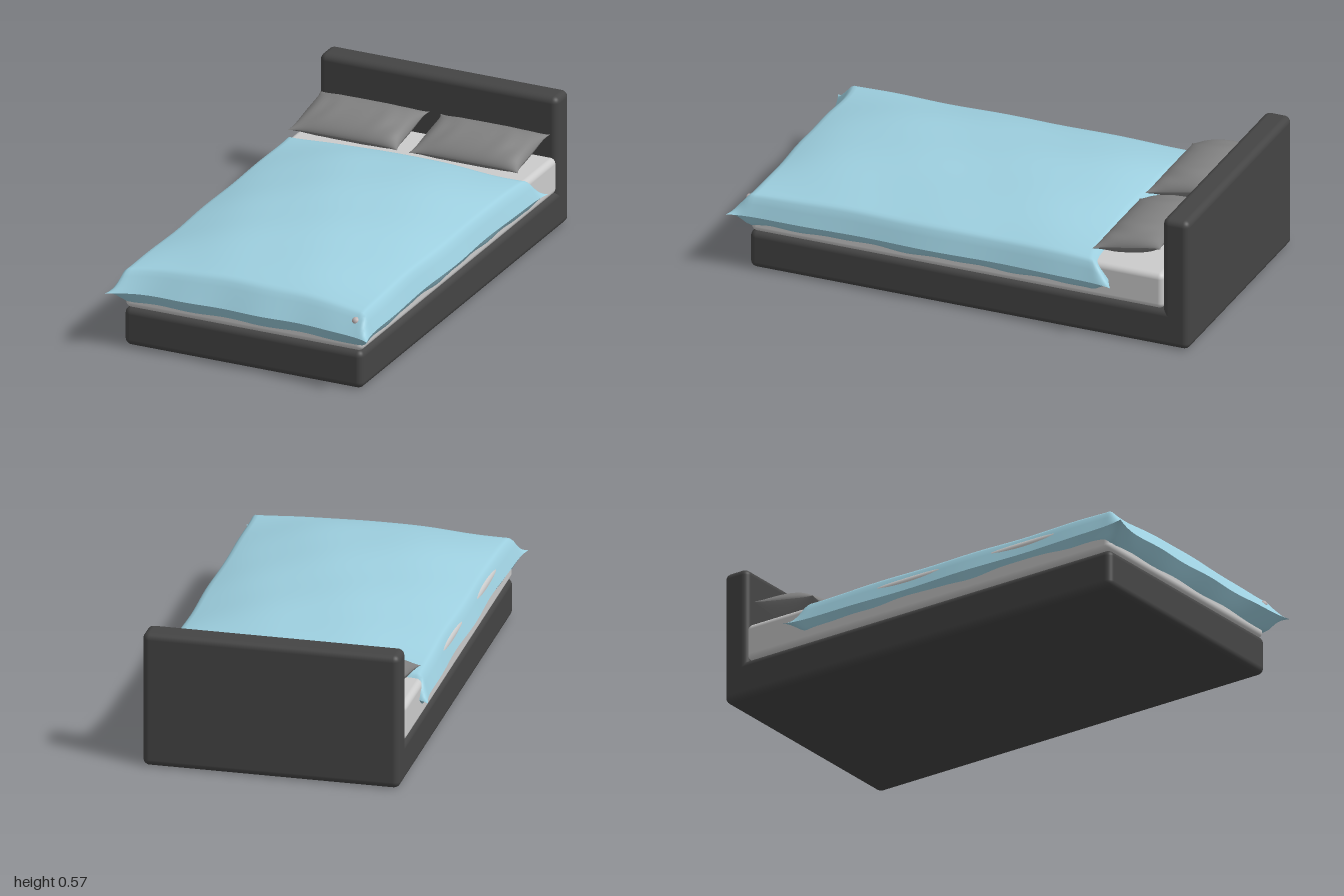
import * as THREE from 'three';
import { RoundedBoxGeometry } from 'three/addons/geometries/RoundedBoxGeometry.js';

const { sin, cos, abs, min, max, pow, PI } = Math;

function add(parent, name, geometry, color, x = 0, y = 0, z = 0) {
  const mesh = new THREE.Mesh(geometry, new THREE.MeshStandardMaterial({ color }));
  mesh.name = name;
  mesh.position.set(x, y, z);
  parent.add(mesh);
  return mesh;
}

// Rounded box given by its limits on each axis
function block(parent, name, color, [x0, x1], [y0, y1], [z0, z1], r) {
  add(parent, name, new RoundedBoxGeometry(x1 - x0, y1 - y0, z1 - z0, 4, r), color,
    (x0 + x1) / 2, (y0 + y1) / 2, (z0 + z1) / 2);
}

// Two sheets joined at a seam; place(u, v, side) returns [x, y, z] for u, v in -1..1
function cushion(parent, name, color, nu, nv, place) {
  const group = new THREE.Group();
  group.name = name;
  for (const side of [1, -1]) {
    const g = new THREE.PlaneGeometry(2, 2, nu, nv).rotateX(-side * PI / 2);
    const p = g.attributes.position;
    for (let i = 0; i < p.count; i++) {
      // rows crowd towards the seam
      const u = sin(p.getX(i) * PI / 2), v = sin(p.getZ(i) * PI / 2);
      p.setXYZ(i, ...place(u, v, side));
    }
    g.computeVertexNormals();
    add(group, side > 0 ? name + 'Top' : name + 'Underside', g, color);
  }
  parent.add(group);
  return group;
}

// Duvet: a narrow steep rim, a broad low dome and pulled-out corners
function duvetPoint(u, v, side) {
  const ripple = 0.004 * sin(9 * v + 2 * u) * pow(abs(u), 6);
  const x = u * (0.558 + 0.028 * pow(abs(v), 10)) + ripple;
  const edge = v > 0 ? 0.8 + 0.04 * pow(abs(u), 6) : 0.79 + 0.05 * pow(abs(u), 8);
  const z = 0.16 + v * edge + 0.004 * sin(11 * u) * pow(abs(v), 6);
  const rim = min(1, (1 - abs(u)) / 0.06) * min(1, (1 - abs(v)) / 0.085);
  const seam = 0.25 + 0.008 * (1 - pow(u, 4)) * pow(abs(v), 8);
  if (side > 0) {
    const dome = (1 - pow(abs(u), 2.2)) * (1 - pow(abs(v), 4.2));
    const crease = 0.0025 * sin(7 * u + 3 * v) * sin(8 * v - 2 * u) * rim;
    return [x, seam + 0.078 * rim + 0.09 * dome + crease, z];
  }
  const frontSag = 0.035 * max(0, min(1, (v - 0.7) * 5)) * (1 - pow(abs(u), 5));
  const wave = 0.006 * sin(17 * v) * sin(5 * v + 1);
  return [x, seam - rim * (0.048 + frontSag + wave), z];
}

// Pillow: pinched edges, pointed corners and radiating creases
function pillowPoint(u, v, side) {
  const x = u * (0.232 + 0.012 * pow(v, 6));
  const z = v * (0.138 + 0.014 * pow(u, 6));
  const puff = pow((1 - pow(u, 4)) * (1 - pow(v, 2)), 0.6);
  const crease = 0.004 * sin(14 * u + 5 * v * v) * (1 - v * v) * u * u * (1 - u * u) * 3;
  return [x, side * (0.058 * puff + crease), z];
}

export function createModel() {
  const bed = new THREE.Group();
  bed.name = 'bed';
  const dark = 0x444444, width = [-0.541, 0.523];

  // Frame and mattress
  block(bed, 'base', dark, width, [0, 0.165], [-0.995, 0.92], 0.028);
  block(bed, 'headboard', dark, width, [0, 0.575], [-1, -0.885], 0.028);
  block(bed, 'mattress', 0xcccccc, [-0.54, 0.522], [0.163, 0.32], [-0.89, 0.915], 0.025);

  // Bedding
  cushion(bed, 'duvet', 0x9dcfdf, 48, 72, duvetPoint);
  [['rightPillow', -0.282], ['leftPillow', 0.256]].forEach(([name, x]) => {
    const pillow = cushion(bed, name, 0x808080, 32, 24, pillowPoint);
    pillow.position.set(x, 0.395, -0.718);
    pillow.rotation.x = 0.18;
  });

  // Small button at the foot corner
  add(bed, 'button', new THREE.SphereGeometry(0.017, 16, 12), 0xbfb4b4, 0.5, 0.302, 0.925);
  return bed;
}
